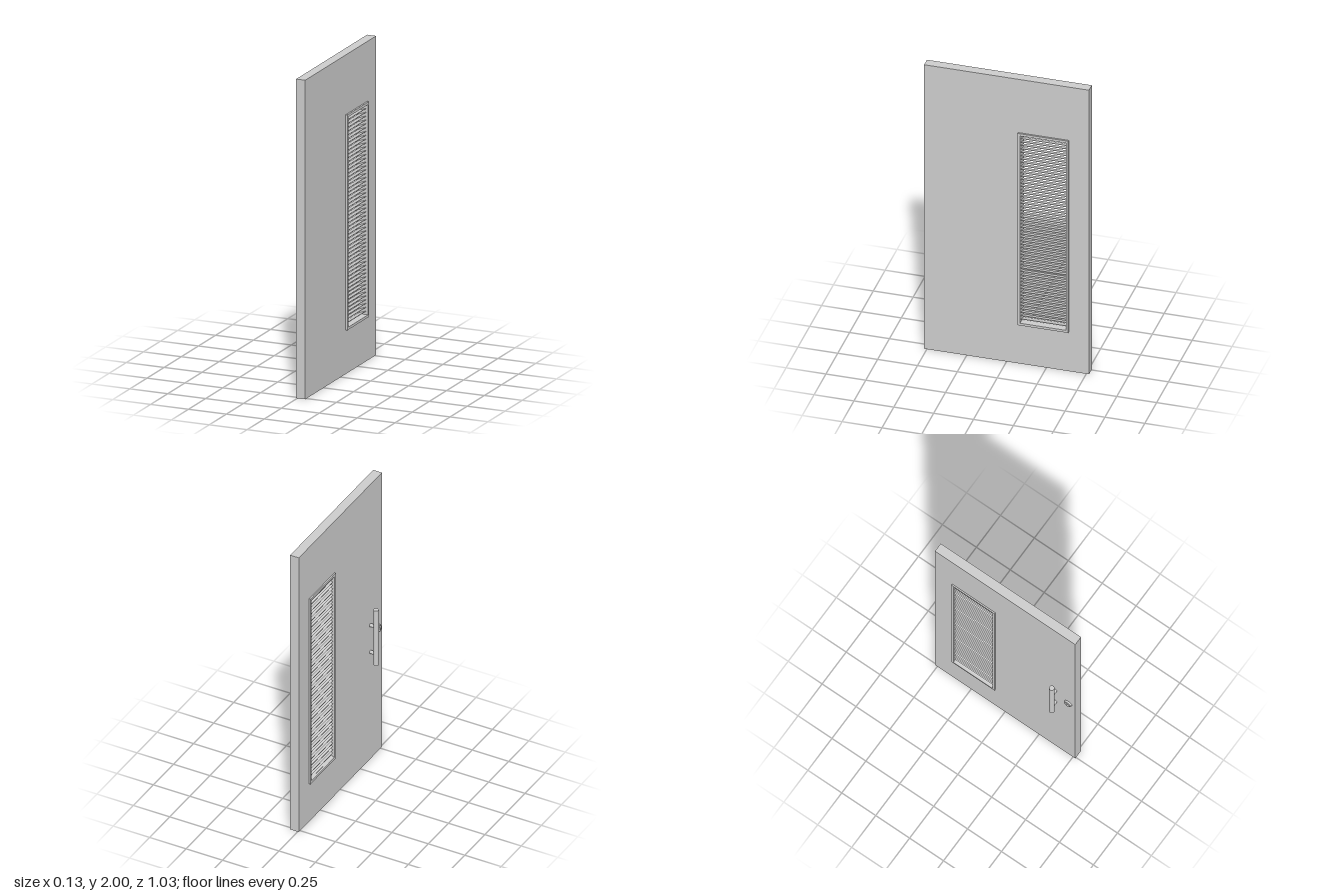
import * as THREE from 'three';

const material = new THREE.MeshStandardMaterial({ color: 0xcccccc });

function rect(target, z0, z1, y0, y1) {
  target.moveTo(z0, y0);
  target.lineTo(z1, y0);
  target.lineTo(z1, y1);
  target.lineTo(z0, y1);
  target.closePath();
  return target;
}

// Rectangular panel in the z-y plane with a rectangular opening, from x0 to x1
function panel(outer, hole, x0, x1) {
  const shape = rect(new THREE.Shape(), ...outer);
  shape.holes.push(rect(new THREE.Path(), ...hole));
  const geometry = new THREE.ExtrudeGeometry(shape, { depth: x1 - x0, bevelEnabled: false });
  return geometry.rotateY(-Math.PI / 2).translate(x1, 0, 0);
}

export function createModel() {
  const model = new THREE.Group();
  const add = (name, geometry, parent = model) => {
    const mesh = new THREE.Mesh(geometry, material);
    mesh.name = name;
    parent.add(mesh);
    return mesh;
  };
  const group = (name) => {
    const g = new THREE.Group();
    g.name = name;
    model.add(g);
    return g;
  };
  // Cylinder lying along x, from x0 to x1
  const rod = (r0, r1, x0, x1, y, z, sides = 32) =>
    new THREE.CylinderGeometry(r1, r0, x1 - x0, sides)
      .rotateZ(-Math.PI / 2).translate((x0 + x1) / 2, y, z);

  // Door leaf with the vent cut through it
  add('doorLeaf', panel([-0.517, 0.517, 0, 2], [-0.38, -0.082, 0.285, 1.615], -0.008, 0.052));

  // Vent: raised frame on both faces and tilted slats
  const vent = group('vent');
  add('ventFrame', panel([-0.39, -0.072, 0.275, 1.625], [-0.375, -0.088, 0.291, 1.609], -0.017, 0.063), vent);
  const count = 55, bottom = 0.291, pitch = (1.609 - bottom) / count;
  const slat = new THREE.BoxGeometry(0.058, 0.003, 0.289).rotateZ(0.36);
  for (let i = 0; i < count; i++) {
    add('slat', slat, vent).position.set(0.023, bottom + pitch * (i + 0.5), -0.2315);
  }

  // Pull handle: vertical bar on two posts
  const handle = group('pullHandle');
  add('handleBar', new THREE.CylinderGeometry(0.016, 0.016, 0.4, 32).translate(-0.048, 0.9, 0.373), handle);
  for (const y of [0.78, 0.975]) {
    add('handlePost', rod(0.011, 0.011, -0.048, -0.006, y, 0.373, 24), handle);
  }

  // Lock: round rose, cylinder plug and keyway rib
  const lock = group('lock');
  add('lockRose', rod(0.024, 0.027, -0.019, -0.006, 0.897, 0.467), lock);
  add('lockPlug', rod(0.019, 0.02, -0.024, -0.018, 0.897, 0.467), lock);
  add('lockKeyway', new THREE.BoxGeometry(0.003, 0.016, 0.004).translate(-0.0245, 0.897, 0.467), lock);

  return model;
}
